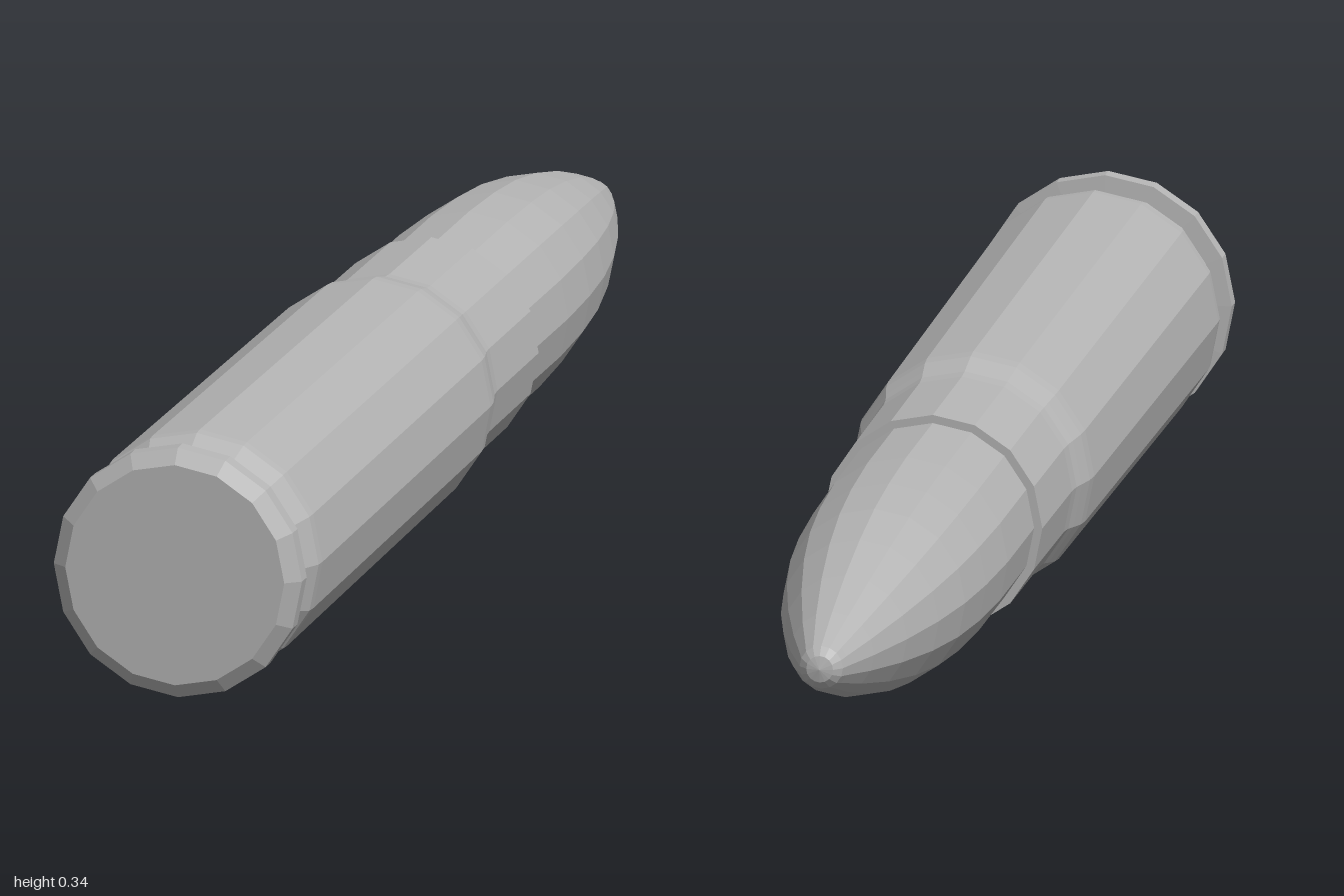
import * as THREE from 'three';

const SIDES = 16;
const RADIUS = 0.17;

export function createModel() {
  const group = new THREE.Group();
  const metal = new THREE.MeshStandardMaterial({ color: 0xb4b4b4, flatShading: true });
  metal.name = 'plain grey metal';

  // Turn a [radius, z] profile, listed from the front (+z) to the back, about the z axis
  function turned(name, profile) {
    const points = profile.map(([r, z]) => new THREE.Vector2(r, -z));
    const geometry = new THREE.LatheGeometry(points, SIDES);
    geometry.rotateX(-Math.PI / 2);
    geometry.translate(0, RADIUS, 0);
    const mesh = new THREE.Mesh(geometry, metal);
    mesh.name = name;
    group.add(mesh);
  }

  // Flat base with a chamfered rim
  turned('baseRim', [[0, 1], [0.15, 1], [0.17, 0.985], [0.17, 0.962], [0.147, 0.96]]);

  // Narrow groove, flaring into the long, slightly tapered body
  turned('groove', [[0.147, 0.96], [0.147, 0.935], [0.167, 0.895]]);
  turned('body', [[0.167, 0.895], [0.168, 0.88], [0.162, 0.06]]);

  // Rounded shoulder and straight neck with an open lip
  turned('shoulder', [[0.162, 0.06], [0.16, 0.04], [0.154, 0.015], [0.15, 0]]);
  turned('neck', [[0.15, 0], [0.148, -0.02], [0.147, -0.22], [0.134, -0.22]]);

  // Curved nose with a small rounded tip
  turned('nose', [
    [0.136, -0.21], [0.136, -0.4], [0.131, -0.52], [0.122, -0.62], [0.106, -0.72],
    [0.083, -0.82], [0.056, -0.91], [0.034, -0.97], [0.029, -0.985], [0.018, -0.996], [0, -1],
  ]);

  return group;
}
